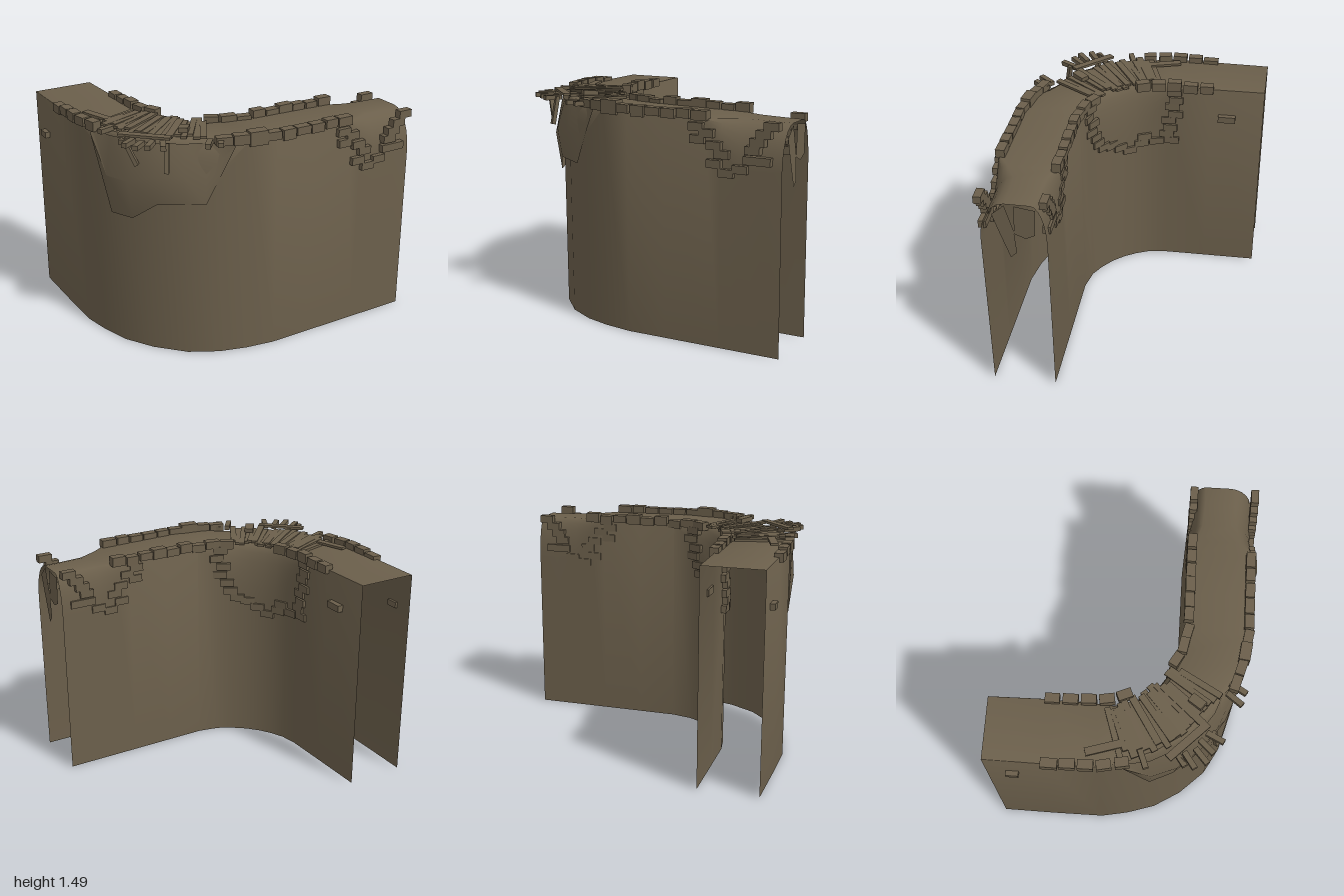
import * as THREE from 'three';
import { toCreasedNormals } from 'three/addons/utils/BufferGeometryUtils.js';

const stone = new THREE.MeshStandardMaterial({ color: 0x6b5f4b, side: THREE.DoubleSide });
stone.name = 'weathered stone';

// Stations along the wall: outer x,z, inner x,z, outer drop, outer inset, inner drop, inner inset
const stations = [
  [-0.96, -0.82, -0.56, -0.82, 0, 0, 0, 0],
  [-0.965, -0.45, -0.555, -0.45, 0, 0, 0, 0],
  [-0.965, -0.12, -0.55, -0.15, 0, 0, 0.1, 0.03],
  [-0.93, 0.06, -0.53, -0.03, 0.1, 0.02, 0.3, 0.06],
  [-0.87, 0.25, -0.49, 0.06, 0.5, 0.04, 0.38, 0.07],
  [-0.76, 0.43, -0.44, 0.14, 0.42, 0.05, 0.4, 0.08],
  [-0.6, 0.6, -0.37, 0.22, 0.39, 0.08, 0.38, 0.07],
  [-0.42, 0.7, -0.28, 0.29, 0.25, 0.08, 0.3, 0.06],
  [-0.25, 0.75, -0.19, 0.34, 0, 0, 0.1, 0.03],
  [-0.06, 0.78, -0.05, 0.37, 0, 0, 0, 0],
  [0.2, 0.78, 0.2, 0.37, 0, 0, 0, 0],
  [0.48, 0.78, 0.48, 0.37, 0, 0, 0, 0],
  [0.58, 0.78, 0.58, 0.37, 0.17, 0.08, 0.15, 0.04],
  [0.7, 0.78, 0.7, 0.37, 0.28, 0.15, 0.26, 0.08],
  [0.85, 0.78, 0.85, 0.37, 0.28, 0.16, 0.28, 0.09],
  [0.98, 0.78, 0.98, 0.37, 0.27, 0.16, 0.28, 0.09],
];

// Joins rows of points into a surface with crisp edges
function loft(rows) {
  const n = rows[0].length, index = [];
  for (let i = 0; i < rows.length - 1; i++) {
    for (let j = 0; j < n - 1; j++) {
      const a = i * n + j, b = a + n;
      index.push(a, b, a + 1, b, b + 1, a + 1);
    }
  }
  const g = new THREE.BufferGeometry().setFromPoints(rows.flat());
  g.setIndex(index);
  return toCreasedNormals(g, 0.6);
}

// One open cross-section: outer face, rounded shoulders, walkway, inner face
function section([ox, oz, ix, iz, dropO, insetO, dropI, insetI]) {
  const top = 1.43 - 0.02 * Math.max(0, ox);
  const outer = new THREE.Vector3(ox, 0, oz), inner = new THREE.Vector3(ix, 0, iz);
  const across = inner.clone().sub(outer).normalize();
  const side = (base, sign, drop, inset) => {
    const d = Math.max(drop, 0.004), r = Math.max(inset, 0.002);
    const pts = [base.clone()];
    for (let k = 0; k <= 6; k++) {
      const a = (k / 6) * Math.PI / 2;
      const p = base.clone().addScaledVector(across, sign * r * (1 - Math.cos(a)));
      p.y = top - d + d * Math.sin(a);
      pts.push(p);
    }
    return pts;
  };
  return [...side(outer, 1, dropO, insetO), ...side(inner, -1, dropI, insetI).reverse()];
}

function path(ix, iz) {
  const c = new THREE.CurvePath();
  for (let i = 1; i < stations.length; i++) {
    const a = stations[i - 1], b = stations[i];
    c.add(new THREE.LineCurve3(new THREE.Vector3(a[ix], 0, a[iz]), new THREE.Vector3(b[ix], 0, b[iz])));
  }
  return c;
}

export function createModel() {
  const model = new THREE.Group();
  let seed = 7;
  const rand = () => (seed = (seed * 16807) % 2147483647) / 2147483647;
  const jit = (s) => (rand() - 0.5) * s;
  const add = (geo, name, parent = model) => {
    const m = new THREE.Mesh(geo, stone);
    m.name = name;
    parent.add(m);
    return m;
  };
  const group = (name) => {
    const g = new THREE.Group();
    g.name = name;
    model.add(g);
    return g;
  };
  const outerPath = path(0, 1), innerPath = path(2, 3);

  // Hollow curved wall, open below and at both ends
  add(loft(stations.map(section)), 'wall');

  // Broken facing on the outer corner: x, z, lower edge height, bulge, top lean
  const facing = [[-0.945, 0.03, 1.36, 1.01, 0.99], [-0.91, 0.2, 0.91, 1.03, 0.99], [-0.84, 0.35, 0.91, 1.04, 0.98],
    [-0.74, 0.49, 1.03, 1.03, 0.97], [-0.61, 0.6, 1.04, 1.01, 0.95], [-0.5, 0.67, 1.04, 0.98, 0.92],
    [-0.41, 0.71, 1.24, 0.98, 0.95], [-0.33, 0.735, 1.41, 1, 1]];
  add(loft(facing.map(([x, z, y, bulge, lean]) => [
    new THREE.Vector3(x, y, z),
    new THREE.Vector3(x * bulge, (y + 1.42) / 2, z * bulge),
    new THREE.Vector3(x * lean, 1.42, z * lean),
  ])), 'brokenFacing');

  // Ragged remains closing part of the worn end, drawn in z and y
  const shards = [
    [[0.43, 1.38], [0.56, 1.4], [0.57, 1.2], [0.5, 1.17], [0.44, 1.2]],
    [[0.7, 1.33], [0.62, 1.4], [0.57, 1.22], [0.56, 1.06], [0.6, 1.02], [0.66, 1.2]],
  ];
  for (const pts of shards) {
    const shape = new THREE.Shape(pts.map(([z, y]) => new THREE.Vector2(-z, y)));
    const m = add(new THREE.ShapeGeometry(shape), 'endShard');
    m.rotation.y = Math.PI / 2;
    m.position.x = 0.98;
  }

  // Bricks laid along the wall line
  const bricks = group('bricks');
  const brick = (p, angle, l = 0.105, h = 0.05, d = 0.06) => {
    const m = add(new THREE.BoxGeometry(l, h, d), 'brick', bricks);
    m.position.copy(p);
    m.rotation.y = angle;
  };
  const onPath = (curve, t, y, shift, ...size) => {
    const p = curve.getPoint(t), q = curve.getTangent(t);
    p.set(p.x + q.z * shift, y, p.z - q.x * shift);
    brick(p, Math.atan2(-q.z, q.x) + jit(0.06), ...size);
  };
  const rim = (curve, t0, t1, n, shift) => {
    for (let i = 0; i < n; i++) {
      onPath(curve, t0 + (t1 - t0) * i / (n - 1), 1.437 + jit(0.02), shift, 0.095 + jit(0.02), 0.06 + jit(0.02), 0.06);
    }
  };
  rim(outerPath, 0.13, 0.27, 5, 0.005);
  rim(outerPath, 0.56, 0.83, 9, 0.014);
  rim(innerPath, 0.16, 0.34, 5, 0);
  rim(innerPath, 0.5, 0.83, 9, -0.016);
  onPath(outerPath, 0.628, 1.445, 0.014, 0.12, 0.09, 0.07);

  // Ragged brick edges round the worn far end, on both faces
  const endBricks = [[0.43, 1.375], [0.44, 1.3], [0.5, 1.34], [0.55, 1.27], [0.6, 1.22], [0.55, 1.16],
    [0.63, 1.11], [0.72, 1.14], [0.79, 1.2], [0.87, 1.2], [0.8, 1.26], [0.83, 1.31], [0.87, 1.36], [0.92, 1.41]];
  for (const z of [0.785, 0.385]) {
    for (const [x, y] of endBricks) brick(new THREE.Vector3(x, y, z), 0, 0.095, 0.05, 0.05);
  }

  // Ragged brick edges round the worn inner corner
  const cornerBricks = [[0.25, 1.39], [0.245, 1.33], [0.255, 1.28], [0.245, 1.22], [0.265, 1.17], [0.26, 1.11],
    [0.27, 1.06], [0.255, 1.01], [0.3, 1.0], [0.335, 1.04], [0.345, 0.99], [0.38, 0.95], [0.41, 0.99], [0.44, 1.03],
    [0.47, 1.05], [0.49, 1.1], [0.5, 1.16], [0.52, 1.22], [0.51, 1.28], [0.53, 1.34], [0.52, 1.4]];
  for (const [t, y] of cornerBricks) onPath(innerPath, t, y, -0.008, 0.1, 0.05, 0.05);

  // Single bricks standing proud of the straight arm
  brick(new THREE.Vector3(-0.545, 1.215, -0.57), Math.PI / 2, 0.12, 0.045, 0.05);
  brick(new THREE.Vector3(-0.97, 1.18, -0.655), Math.PI / 2, 0.08, 0.04, 0.05);

  // Timber from point to point
  const planks = group('planks');
  const plank = (a, b, w = 0.036, h = 0.016) => {
    const from = new THREE.Vector3(...a), to = new THREE.Vector3(...b);
    const m = add(new THREE.BoxGeometry(w, h, from.distanceTo(to)), 'plank', planks);
    m.position.copy(from).lerp(to, 0.5);
    m.lookAt(to);
  };

  // Fan of planks across the bend
  for (let i = 0; i < 19; i++) {
    const f = i / 18;
    const a = innerPath.getPoint(0.29 + 0.19 * f), b = outerPath.getPoint(0.27 + 0.25 * f);
    const p = a.clone().lerp(b, 0.02 + 0.15 * rand()), q = a.clone().lerp(b, 0.8 + 0.18 * rand());
    plank([p.x, 1.441 + jit(0.016), p.z], [q.x, 1.447 + jit(0.02), q.z], 0.034 + 0.018 * rand());
  }

  // Short beams jutting past the outer face
  for (const [x, z, a] of [[-0.9, 0.15, 0.35], [-0.88, 0.37, 0.6], [-0.89, 0.43, 0.6], [-0.86, 0.5, 0.7],
    [-0.8, 0.53, 0.8], [-0.74, 0.58, 1.1], [-0.49, 0.69, 0.9], [-0.42, 0.71, 1.0]]) {
    const c = 0.06 * Math.cos(a), s = 0.06 * Math.sin(a);
    plank([x + c, 1.44, z - s], [x - c, 1.445, z + s], 0.035, 0.03);
  }

  // Loose boards lying along the bend and hanging from its edge
  plank([-0.88, 1.45, -0.2], [-0.78, 1.45, 0.12], 0.05);
  plank([-0.89, 1.46, 0.3], [-0.66, 1.46, 0.53], 0.05);
  plank([-0.9, 1.46, 0.38], [-0.84, 1.29, 0.43], 0.03, 0.025);
  plank([-0.71, 1.45, 0.57], [-0.73, 1.27, 0.6], 0.03, 0.025);
  plank([-0.56, 1.48, 0.5], [-0.5, 1.47, 0.42], 0.06, 0.03);
  return model;
}
